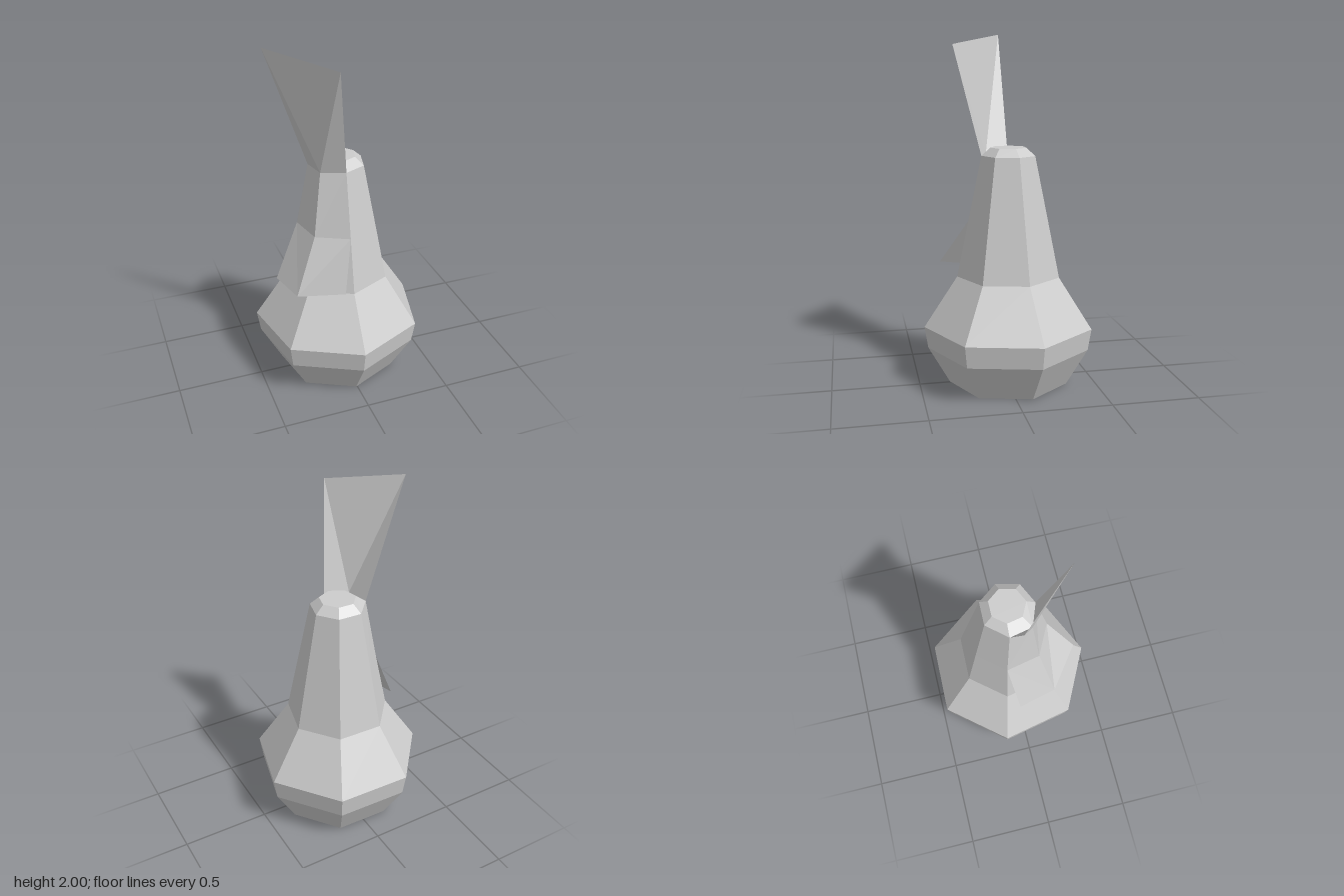
import * as THREE from 'three';

const SIDES = 7;
const CENTRE_Z = -0.023;

// Flat-shaded geometry from a list of triangles of Vector3
function facets(triangles) {
  const geometry = new THREE.BufferGeometry().setFromPoints(triangles.flat());
  geometry.computeVertexNormals();
  return geometry;
}

// Seven-sided ring, starting at the front corner and turning towards +x
function ring(radius, y) {
  return Array.from({ length: SIDES }, (_, k) => {
    const a = (k / SIDES) * Math.PI * 2 - 0.02;
    return new THREE.Vector3(Math.sin(a) * radius, y, CENTRE_Z + Math.cos(a) * radius);
  });
}

const v = (x, y, z) => new THREE.Vector3(x, y, z);

export function createModel() {
  const group = new THREE.Group();
  const grey = new THREE.MeshStandardMaterial({ color: 0xcccccc, flatShading: true });
  grey.name = 'grey';
  const sheetGrey = grey;
  sheetGrey.side = THREE.DoubleSide;

  const add = (name, triangles) => {
    const mesh = new THREE.Mesh(facets(triangles), grey);
    mesh.name = name;
    group.add(mesh);
  };

  // Pear-shaped body: [radius, height]
  const rings = [
    [0.347, 0], [0.47, 0.215], [0.49, 0.34], [0.298, 0.63],
    [0.232, 0.95], [0.155, 1.32], [0.104, 1.365],
  ].map(([r, y]) => ring(r, y));
  const waist = rings[4], neck = rings[5];
  // The neck swells slightly where the blade grows out of it
  neck[5].set(-0.164, 1.32, -0.05);
  neck[6].set(-0.136, 1.32, 0.083);

  const body = [];
  for (let i = 0; i < rings.length - 1; i++) {
    const lo = rings[i], hi = rings[i + 1];
    for (let k = 0; k < SIDES; k++) {
      const n = (k + 1) % SIDES;
      body.push([lo[k], lo[n], hi[n]], [lo[k], hi[n], hi[k]]);
    }
  }
  // Base and top caps
  const base = rings[0], top = rings[rings.length - 1];
  for (let k = 1; k < SIDES - 1; k++) {
    body.push([base[0], base[k + 1], base[k]], [top[0], top[k], top[k + 1]]);
  }
  add('body', body);

  // Upright blade flaring from the neck
  const tipLeft = v(-0.4, 2, -0.04), tipRight = v(-0.09, 1.935, 0.277);
  add('upperBlade', [
    [neck[5], neck[6], tipLeft],
    [neck[6], tipRight, tipLeft],
    [neck[6], neck[0], tipRight],
  ]);

  // Drooping flap flaring from the waist
  const hemSide = v(-0.37, 0.63, -0.035);
  const hemCorner = v(-0.315, 0.63, 0.19);
  const hemFront = v(-0.09, 0.703, 0.362);
  add('lowerFlap', [
    [waist[5], hemSide, hemCorner],
    [waist[5], hemCorner, waist[6]],
    [waist[6], hemCorner, waist[0]],
    [hemCorner, hemFront, waist[0]],
  ]);

  return group;
}
